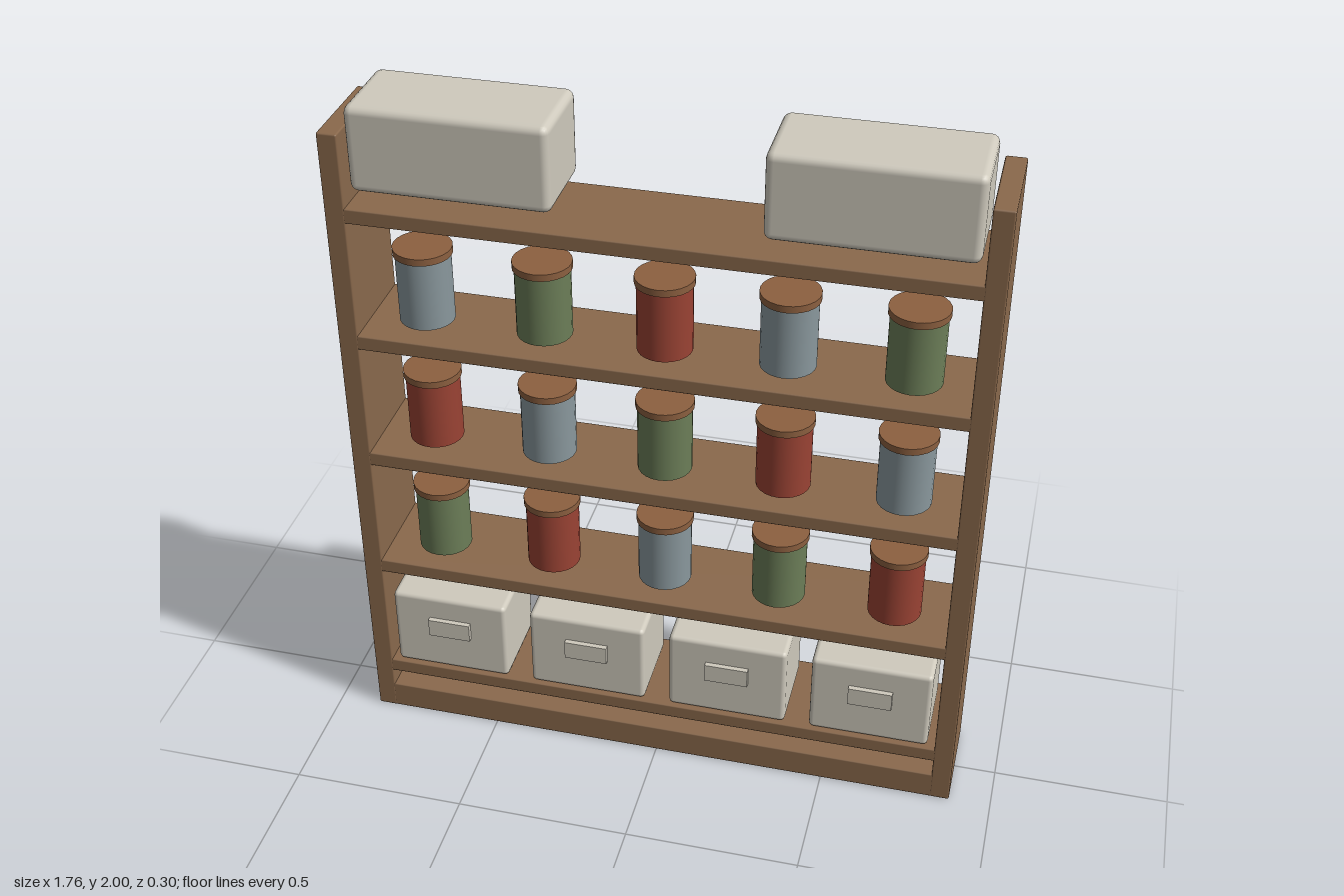
import * as THREE from 'three';
import { RoundedBoxGeometry } from 'three/addons/geometries/RoundedBoxGeometry.js';

function material(name, color) {
  const m = new THREE.MeshStandardMaterial({ color });
  m.name = name;
  return m;
}

export function createModel() {
  const wood = material('wood', 0x8a694c);
  const lidWood = material('lid wood', 0x8c6040);
  const canvas = material('pale storage box', 0xcfcabd);
  const red = material('red jar', 0x9a4334);
  const green = material('green jar', 0x6c7e58);
  const blue = material('grey blue jar', 0x8a989d);

  const model = new THREE.Group();
  model.name = 'shelfUnit';

  function add(name, geometry, mat, x, y, z, parent = model) {
    const mesh = new THREE.Mesh(geometry, mat);
    mesh.name = name;
    mesh.position.set(x, y, z);
    parent.add(mesh);
    return mesh;
  }

  // Side panels
  const panel = new RoundedBoxGeometry(0.056, 1.93, 0.293, 1, 0.005);
  add('leftPanel', panel, wood, 0.852, 0.965, -0.0035);
  add('rightPanel', panel, wood, -0.852, 0.965, -0.0035);

  // Shelves and base board, let slightly into the panels
  const board = new RoundedBoxGeometry(1.66, 0.043, 0.291, 1, 0.004);
  for (const y of [0.162, 0.546, 0.929, 1.313, 1.698]) add('shelf', board, wood, 0, y, -0.0035);
  add('baseBoard', new RoundedBoxGeometry(1.66, 0.085, 0.291, 1, 0.004), wood, 0, 0.0425, -0.0035);

  // Bottom bins with label plates
  const bin = new RoundedBoxGeometry(0.346, 0.258, 0.25, 2, 0.014);
  const plate = new THREE.BoxGeometry(0.126, 0.057, 0.016);
  for (const x of [-0.63, -0.21, 0.21, 0.628]) {
    const group = new THREE.Group();
    group.name = 'bin';
    group.position.set(x, 0.316, 0.01);
    add('binBody', bin, canvas, 0, 0, 0, group);
    add('binPlate', plate, canvas, 0, 0.026, 0.132, group);
    model.add(group);
  }

  // Large boxes on top
  const topBox = new RoundedBoxGeometry(0.54, 0.24, 0.254, 2, 0.022);
  for (const x of [-0.543, 0.54]) add('topBox', topBox, canvas, x, 1.88, -0.004);

  // Three rows of jars, colours cycling along each row
  const body = new THREE.CylinderGeometry(0.076, 0.076, 0.2, 24);
  const lid = new THREE.CylinderGeometry(0.081, 0.081, 0.02, 24);
  const rows = [
    { y: 0.585, colors: [green, red, blue] },
    { y: 0.969, colors: [red, blue, green] },
    { y: 1.353, colors: [blue, green, red] },
  ];
  for (const { y, colors } of rows) {
    for (let i = 0; i < 5; i++) {
      const jar = new THREE.Group();
      jar.name = 'jar';
      jar.position.set((i - 2) * 0.332, y, 0.025);
      add('jarBody', body, colors[i % 3], 0, 0.1, 0, jar);
      add('jarLid', lid, lidWood, 0, 0.21, 0, jar);
      model.add(jar);
    }
  }
  return model;
}
